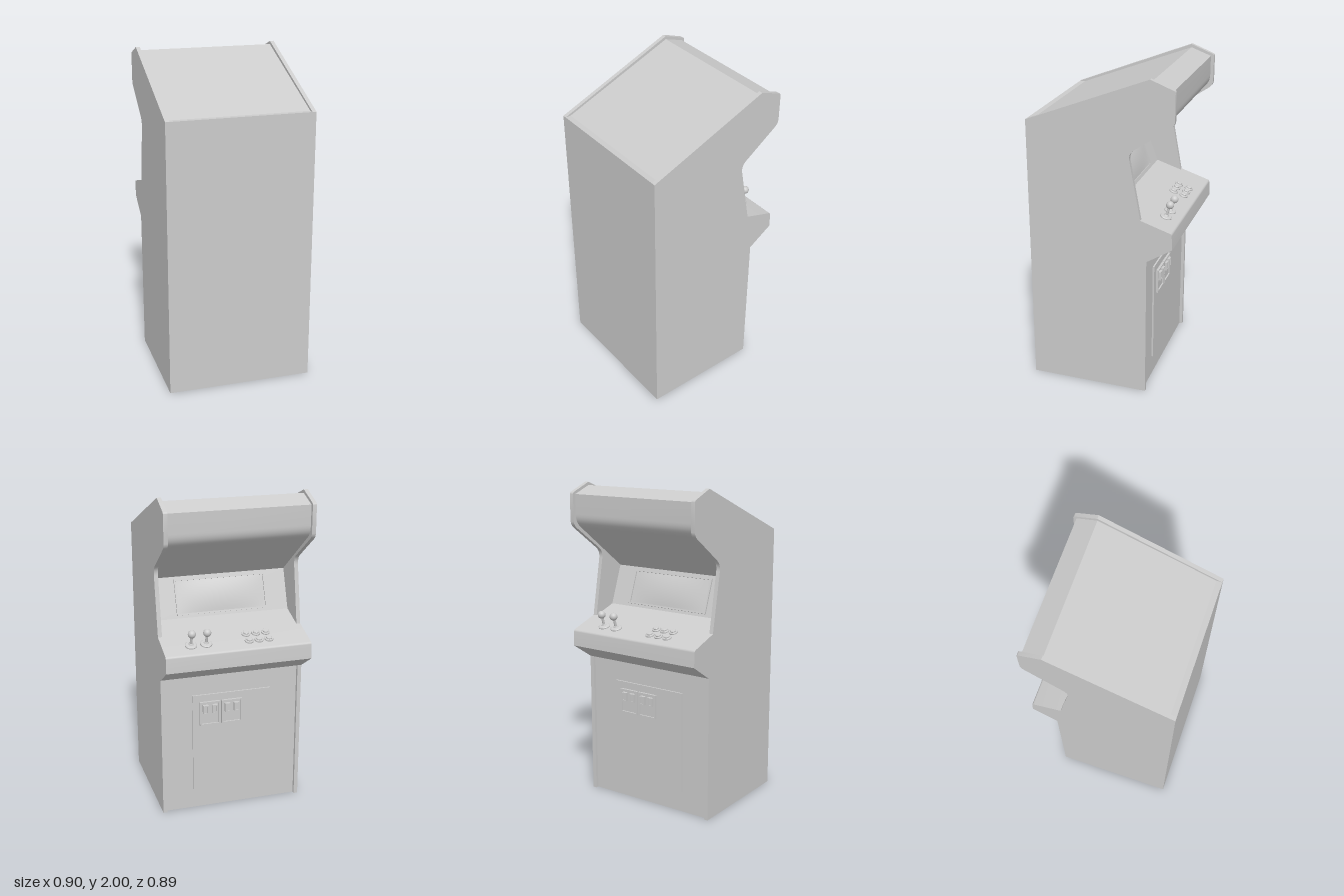
import * as THREE from 'three';
import { toCreasedNormals } from 'three/addons/utils/BufferGeometryUtils.js';

const mat = new THREE.MeshStandardMaterial({ color: 0xcccccc, side: THREE.DoubleSide });
const W = 0.45, IN = 0.425; // outer half width, inner half width

function add(parent, name, geo, x = 0, y = 0, z = 0) {
  const m = new THREE.Mesh(geo, mat);
  m.name = name;
  m.position.set(x, y, z);
  parent.add(m);
  return m;
}

// Path of [z, y, cornerRadius] points with soft corners
function soften(pts) {
  const out = [];
  pts.forEach(([z, y, r], i) => {
    const p = new THREE.Vector2(z, y);
    if (!r) return out.push(p);
    const toward = (q) => new THREE.Vector2(q[0], q[1]).sub(p).setLength(r).add(p);
    const c = new THREE.QuadraticBezierCurve(toward(pts[i - 1]), p, toward(pts[i + 1]));
    out.push(...c.getPoints(6));
  });
  return out;
}

// Sheet that follows a (z, y) path and spans x0..x1
function sheet(path, x0, x1) {
  const v = [];
  for (let i = 0; i < path.length - 1; i++) {
    const a = path[i], b = path[i + 1];
    v.push(x0, a.y, a.x, x1, a.y, a.x, x1, b.y, b.x, x0, a.y, a.x, x1, b.y, b.x, x0, b.y, b.x);
  }
  const g = new THREE.BufferGeometry();
  g.setAttribute('position', new THREE.Float32BufferAttribute(v, 3));
  g.computeVertexNormals();
  return toCreasedNormals(g, 0.35);
}

// Flat (z, y) outline standing in the side plane
const sideFace = (pts) => new THREE.ShapeGeometry(new THREE.Shape(pts)).rotateY(-Math.PI / 2);

// Rectangular frame centred on the origin, facing -z
function frame(w, h, rim, depth) {
  const rect = (P, a, b) => {
    const p = new P();
    p.moveTo(-a, -b); p.lineTo(a, -b); p.lineTo(a, b); p.lineTo(-a, b); p.closePath();
    return p;
  };
  const s = rect(THREE.Shape, w / 2, h / 2);
  s.holes.push(rect(THREE.Path, w / 2 - rim, h / 2 - rim));
  return new THREE.ExtrudeGeometry(s, { depth, bevelEnabled: false }).translate(0, 0, -depth);
}

export function createModel() {
  const root = new THREE.Group();
  root.name = 'arcadeCabinet';

  // Side outline: roof, hood, bay, then control deck and base
  const upper = soften([[0.45, 1.70], [-0.30, 2.0], [-0.445, 1.945, 0.012], [-0.445, 1.75, 0.03],
    [-0.175, 1.56, 0.045], [-0.25, 1.16]]);
  const deck = soften([[-0.25, 1.16], [-0.44, 1.10, 0.012], [-0.445, 1.0], [-0.29, 0.90]]);
  // Body skin recessed between the side panels
  const roof = soften([[0.45, 1.70], [0.415, 1.70], [-0.30, 1.98]]);
  const hood = soften([[-0.30, 1.98], [-0.425, 1.935], [-0.425, 1.765, 0.05], [0, 1.45]]);
  const bay = soften([[0, 1.45], [-0.09, 1.21], [-0.25, 1.16]]);
  const skin = [...roof, ...hood.slice(1), ...bay.slice(1)];

  // Side panels with their rims and inner faces
  const outline = [...upper, ...deck.slice(1), new THREE.Vector2(-0.29, 0), new THREE.Vector2(0.45, 0)];
  const innerOutline = [...upper, ...skin.slice(1, -1).reverse()];
  const base = soften([[-0.29, 0.90], [-0.29, 0]]);
  for (const s of [1, -1]) {
    const side = new THREE.Group();
    side.name = s > 0 ? 'leftSidePanel' : 'rightSidePanel';
    root.add(side);
    add(side, 'outerFace', sideFace(outline), s * W);
    add(side, 'innerFace', sideFace(innerOutline), s * IN);
    add(side, 'upperRim', sheet(upper, s * IN, s * W));
    add(side, 'lowerRim', sheet(base, s * IN, s * W));
    add(side, 'lowerInnerFace', sideFace(soften([[-0.29, 0], [-0.27, 0], [-0.27, 0.9], [-0.29, 0.9]])), s * IN);
  }

  // Body panels
  add(root, 'backPanel', sheet(soften([[0.45, 0], [0.45, 1.70]]), -W, W));
  add(root, 'roof', sheet(roof, -IN, IN));
  add(root, 'marqueeHood', sheet(hood, -IN, IN));
  add(root, 'screenBay', sheet(bay, -IN, IN));
  add(root, 'controlDeck', sheet(deck, -W, W));
  add(root, 'deckUnderside', sheet(soften([[-0.29, 0.90], [-0.27, 0.90]]), -IN, IN));
  add(root, 'lowerFrontPanel', sheet(soften([[-0.27, 0.90], [-0.27, 0]]), -IN, IN));

  // Tilted monitor with a slightly bulging glass
  const monitor = new THREE.Group();
  monitor.name = 'monitor';
  monitor.position.set(0, 1.21, -0.09);
  monitor.rotation.x = Math.atan2(0.09, 0.24);
  root.add(monitor);
  add(monitor, 'screenFrame', frame(0.58, 0.22, 0.01, 0.01), 0, 0.128, 0);
  const glass = new THREE.PlaneGeometry(0.56, 0.2, 16, 10);
  const p = glass.attributes.position;
  for (let i = 0; i < p.count; i++) {
    const u = p.getX(i) / 0.28, v = p.getY(i) / 0.1;
    p.setZ(i, 0.002 + 0.012 * (1 - u * u) * (1 - v * v));
  }
  glass.computeVertexNormals();
  add(monitor, 'screenGlass', glass.rotateY(Math.PI), 0, 0.128, 0);

  // Controls, laid out in the plane of the deck
  const controls = new THREE.Group();
  controls.name = 'controls';
  controls.position.set(0, 1.10, -0.44);
  controls.rotation.x = -Math.atan2(0.06, 0.19);
  root.add(controls);
  const lathe = (pts) => toCreasedNormals(
    new THREE.LatheGeometry(pts.map(([r, y]) => new THREE.Vector2(r, y)), 24), 0.6);
  for (const x of [0.277, 0.184]) {
    const stick = new THREE.Group();
    stick.name = 'joystick';
    stick.position.set(x, 0, 0.09);
    controls.add(stick);
    add(stick, 'joystickBase', lathe([[0.036, 0], [0.036, 0.006], [0.031, 0.01], [0.016, 0.011], [0.012, 0.018], [0, 0.02]]));
    add(stick, 'joystickShaft', new THREE.CylinderGeometry(0.007, 0.009, 0.07, 16), 0, 0.04, 0);
    add(stick, 'joystickBall', new THREE.SphereGeometry(0.024, 24, 16), 0, 0.083, 0);
  }
  const button = lathe([[0.027, 0], [0.027, 0.006], [0.024, 0.01], [0.018, 0.01], [0.018, 0.016], [0.015, 0.019], [0, 0.02]]);
  for (const z of [0.147, 0.079])
    for (const x of [-0.08, -0.142, -0.204]) add(controls, 'button', button, x, 0, z);

  // Coin door with two coin units
  const door = new THREE.Group();
  door.name = 'coinDoor';
  door.position.set(0, 0, -0.27);
  root.add(door);
  add(door, 'doorPanel', new THREE.BoxGeometry(0.5, 0.64, 0.01), 0, 0.45, -0.005);
  for (const x of [0.142, 0.003]) {
    const unit = new THREE.Group();
    unit.name = 'coinUnit';
    unit.position.set(x, 0.648, -0.01);
    door.add(unit);
    add(unit, 'coinFrame', frame(0.13, 0.155, 0.01, 0.014));
    add(unit, 'coinPlate', new THREE.BoxGeometry(0.11, 0.135, 0.005), 0, 0, -0.0025);
    for (const s of [-1, 1]) {
      add(unit, 'coinSlot', new THREE.BoxGeometry(0.034, 0.055, 0.016), s * 0.029, 0.03, -0.012);
      add(unit, 'slotRim', frame(0.034, 0.055, 0.007, 0.005), s * 0.029, 0.03, -0.02);
    }
  }
  return root;
}
